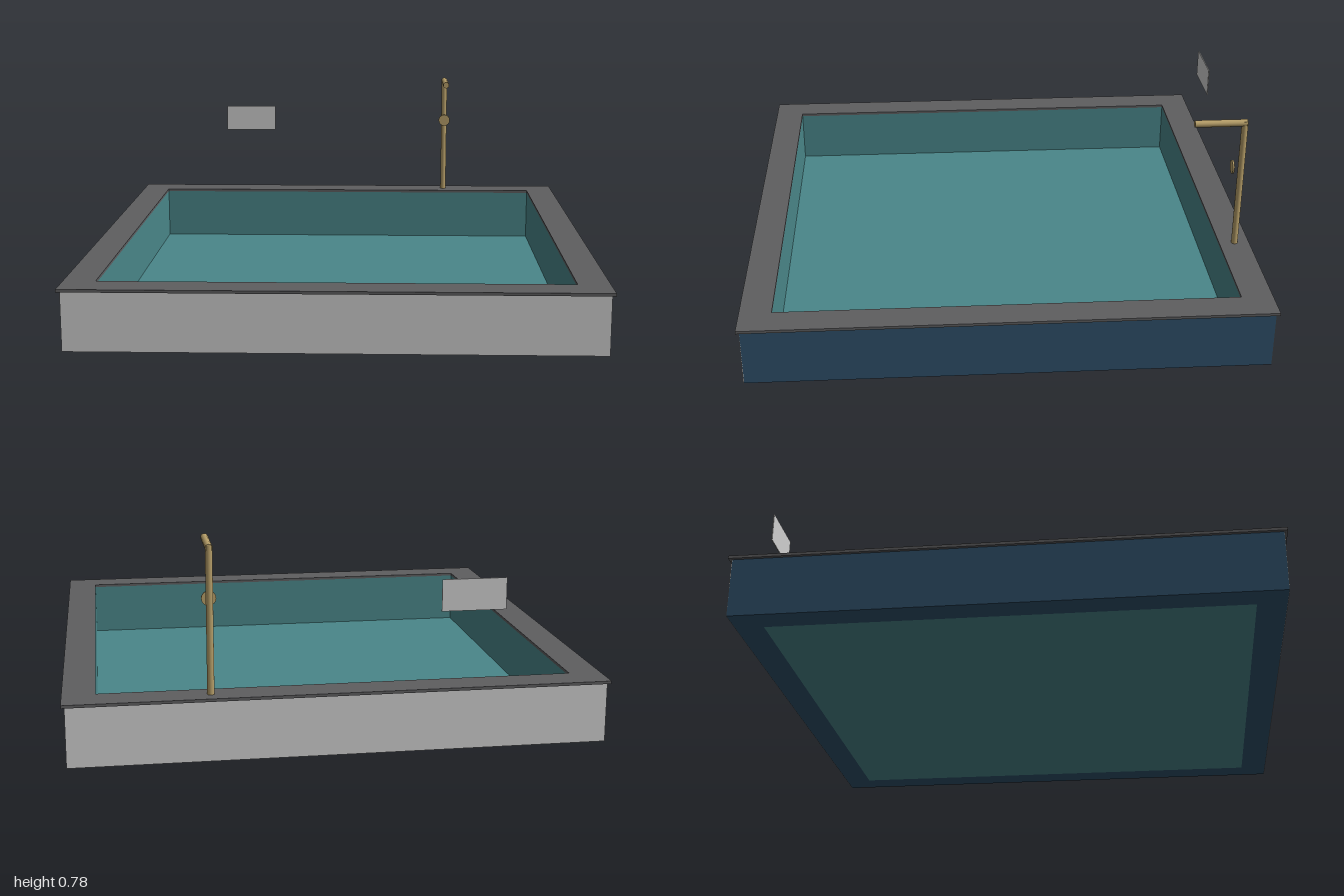
import * as THREE from 'three';

const material = (name, color) => {
  const m = new THREE.MeshStandardMaterial({ color });
  m.name = name;
  return m;
};

export function createModel() {
  const group = new THREE.Group();
  const white = material('pale grey panel', 0xd0d0d0);
  const blue = material('blue wall', 0x2f506a);
  const teal = material('teal liner', 0x4a878a);
  const stone = material('dark stone', 0x5e5e60);
  const brass = material('brass', 0xb8a06a);

  const add = (name, geometry, mat, x, y, z) => {
    const mesh = new THREE.Mesh(geometry, mat);
    mesh.name = name;
    mesh.position.set(x, y, z);
    group.add(mesh);
    return mesh;
  };
  const box = (name, mat, w, h, d, x, y, z) =>
    add(name, new THREE.BoxGeometry(w, h, d), mat, x, y, z);

  // Square frame with a square opening, lying flat
  const frame = (name, mat, outer, inner, y0, y1) => {
    const square = (Type, r) => new Type([
      new THREE.Vector2(-r, -r), new THREE.Vector2(r, -r),
      new THREE.Vector2(r, r), new THREE.Vector2(-r, r),
    ]);
    const shape = square(THREE.Shape, outer);
    shape.holes.push(square(THREE.Path, inner));
    const geometry = new THREE.ExtrudeGeometry(shape, { depth: y1 - y0, bevelEnabled: false });
    geometry.rotateX(-Math.PI / 2);
    return add(name, geometry, mat, 0, y0, 0);
  };

  // Basin walls, liner, floor and coping
  frame('basinWalls', blue, 0.988, 0.882, 0, 0.225);
  frame('wallLiner', teal, 0.882, 0.879, 0.004, 0.225);
  box('basinFloor', teal, 1.764, 0.008, 1.764, 0, 0.004, 0);
  frame('coping', stone, 1, 0.879, 0.225, 0.236);

  // Pale facing on the front and back walls
  for (const side of [1, -1]) {
    box(side > 0 ? 'frontFacing' : 'backFacing', white, 1.976, 0.224, 0.003, 0, 0.1125, side * 0.9885);
  }

  // Floating wall plate
  box('wallPlate', white, 0.238, 0.117, 0.004, -0.476, 0.577, -0.979);

  // Standing spout with its handle disc
  const x = 0.472;
  add('spoutPost', new THREE.CylinderGeometry(0.013, 0.013, 0.544, 16), brass, x, 0.504, -0.941);
  const arm = add('spoutArm', new THREE.CylinderGeometry(0.014, 0.014, 0.205, 16), brass, x, 0.768, -0.8475);
  arm.rotation.x = Math.PI / 2;
  const disc = add('handleDisc', new THREE.CylinderGeometry(0.027, 0.027, 0.007, 16), brass, x, 0.579, -0.906);
  disc.rotation.x = Math.PI / 2;

  return group;
}
